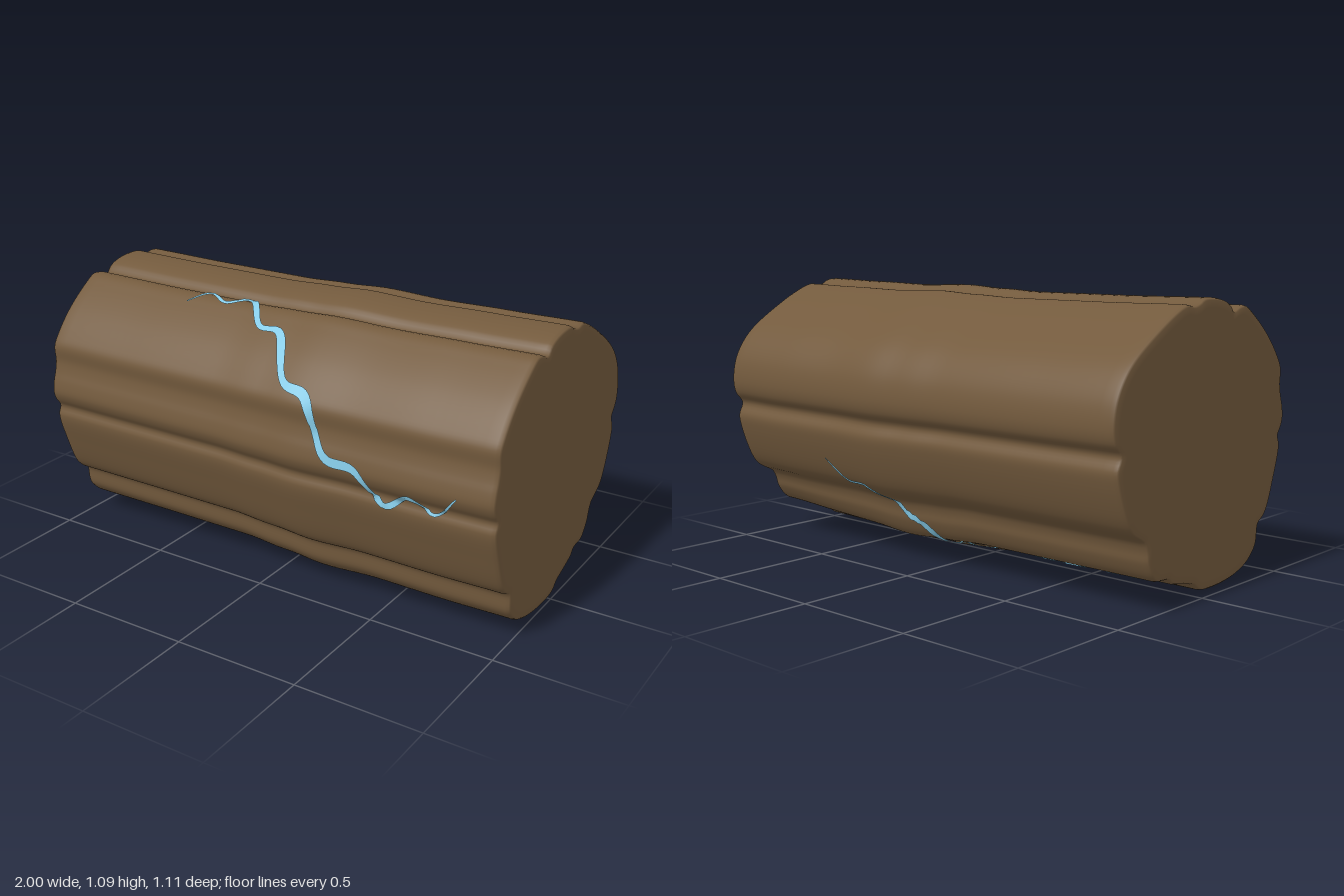
import * as THREE from 'three';

const bark = new THREE.MeshStandardMaterial({ color: 0x735a3d });
bark.name = 'bark brown';
const glow = new THREE.MeshStandardMaterial({ color: 0x87ceeb, side: THREE.DoubleSide });
glow.name = 'pale blue';

// Outline of the log's cross-section as [z, y], from the top towards the front
const OUTLINE = [
  [-.02, 1.09], [.09, 1.085], [.15, 1.063], [.175, 1.036], [.22, 1.05], [.26, 1.054], [.32, 1.02],
  [.425, .937], [.5, .852], [.53, .8], [.528, .735], [.537, .69], [.55, .65], [.557, .6], [.545, .565],
  [.523, .53], [.535, .49], [.5, .363], [.452, .243], [.425, .213], [.39, .19], [.374, .107], [.32, .053],
  [.23, .017], [.08, 0], [-.012, .008], [-.05, .035], [-.193, .068], [-.214, .086], [-.3, .1],
  [-.344, .167], [-.353, .213], [-.37, .25], [-.44, .294], [-.474, .34], [-.525, .47], [-.534, .523],
  [-.516, .575], [-.549, .62], [-.56, .674], [-.543, .77], [-.48, .867], [-.344, .967], [-.133, 1.072],
  [-.0875, 1.066], [-.05, 1.075],
];
const MID = .545;
const N = 280;
const section = new THREE.CatmullRomCurve3(
  OUTLINE.map(([z, y]) => new THREE.Vector3(0, y - MID, z)), true, 'centripetal',
).getSpacedPoints(N).slice(0, N).map((p) => ({ r: Math.hypot(p.y, p.z), a: Math.atan2(p.y, p.z) }));

// Swelling along the length: [x, scale, centre height]
const SWELL = [
  [-1, .962, .5525], [-.6, .958, .55], [-.2, .958, .549], [0, .975, .547], [.18, .993, .546],
  [.42, .978, .548], [.7, .984, .55], [1, .984, .555],
];
function swellAt(x) {
  let i = 0;
  while (i < SWELL.length - 2 && x > SWELL[i + 1][0]) i++;
  const [a, b] = [SWELL[i], SWELL[i + 1]];
  const t = THREE.MathUtils.smoothstep(x, a[0], b[0]);
  return [a[1] + (b[1] - a[1]) * t, a[2] + (b[2] - a[2]) * t];
}

// A point on the bark; the lower back edge is worn in towards the left end
function barkPoint(x, angle, radius, shrink = 1, lift = 0) {
  const [scale, centre] = swellAt(x);
  const away = Math.atan2(Math.sin(angle + 2.1), Math.cos(angle + 2.1));
  const worn = .03 * THREE.MathUtils.smoothstep(x, .2, 1) * Math.exp(-((away / .3) ** 2));
  const r = (radius * scale - worn) * shrink + lift;
  return [x, centre + r * Math.sin(angle), r * Math.cos(angle)];
}

function makeGeometry(positions, index) {
  const g = new THREE.BufferGeometry();
  g.setAttribute('position', new THREE.Float32BufferAttribute(positions, 3));
  g.setIndex(index);
  g.computeVertexNormals();
  return g;
}

// Log body: rings along x with softly rounded ends
function logGeometry() {
  const rings = [[-1, .93], [-1, .982], [-.994, .993], [-.98, 1]];
  for (let i = 1; i < 48; i++) rings.push([-.98 + (1.96 * i) / 48, 1]);
  rings.push([.98, 1], [.994, .993], [1, .982], [1, .93]);
  const pos = [], index = [];
  for (const [x, shrink] of rings) {
    for (const { a, r } of section) pos.push(...barkPoint(x, a, r, shrink));
  }
  const last = (rings.length - 1) * N;
  const start = rings.length * N;
  pos.push(...barkPoint(-1, 0, 0, 0), ...barkPoint(1, 0, 0, 0));
  for (let j = 0; j < N; j++) {
    const k = (j + 1) % N;
    for (let i = 0; i < rings.length - 1; i++) {
      const a = i * N + j, b = i * N + k;
      index.push(a, b, a + N, b, b + N, a + N);
    }
    index.push(start, k, j, start + 1, last + j, last + k);
  }
  return makeGeometry(pos, index);
}

// Outermost bark radius around an angle, so cracks stay above the grooves
function radiusAt(angle) {
  let best = 0;
  for (const { a, r } of section) {
    if (Math.abs(Math.atan2(Math.sin(a - angle), Math.cos(a - angle))) < .03) best = Math.max(best, r);
  }
  return best;
}

// Crack: a tapering ribbon laid over the bark along [x, z, y] points
function crackGeometry(points) {
  const R = .54, steps = 110;
  const path = new THREE.CatmullRomCurve3(points.map(([x, z, y]) => {
    const angle = Math.atan2(y - MID, z);
    return new THREE.Vector3(x, angle * R, 0);
  }), false, 'centripetal');
  const pos = [], index = [];
  for (let i = 0; i <= steps; i++) {
    const t = i / steps;
    const p = path.getPointAt(t), d = path.getTangentAt(t);
    const half = .003 + .014 * Math.sin(Math.PI * t) * (1 + .2 * Math.sin(t * 40));
    for (const side of [-1, 1]) {
      const angle = (p.y + side * half * d.x) / R;
      pos.push(...barkPoint(p.x - side * half * d.y, angle, radiusAt(angle), 1, .006));
    }
    if (i < steps) {
      const a = 2 * i;
      index.push(a, a + 2, a + 1, a + 1, a + 2, a + 3);
    }
  }
  return makeGeometry(pos, index);
}

const FRONT_CRACK = [
  [-.47, .3, 1.02], [-.39, .24, 1.045], [-.3, .27, 1.03], [-.2, .23, 1.045], [-.09, .345, 1],
  [0, .35, .995], [.12, .49, .86], [.22, .51, .835], [.33, .555, .635], [.45, .55, .615],
  [.57, .53, .5], [.67, .545, .56], [.77, .53, .515], [.86, .555, .605],
];
const BACK_CRACK = [
  [.47, -.505, .4], [.376, -.46, .315], [.28, -.455, .31], [.153, -.357, .215], [.056, -.34, .16],
  [-.105, -.155, .06], [-.25, -.05, .035], [-.45, -.01, .02], [-.52, -.07, .035], [-.63, -.09, .04],
  [-.7, -.165, .06], [-.795, -.21, .08], [-.87, -.195, .07],
];

export function createModel() {
  const group = new THREE.Group();
  group.name = 'crackedLog';
  const add = (name, geometry, material) => {
    const mesh = new THREE.Mesh(geometry, material);
    mesh.name = name;
    group.add(mesh);
  };
  add('logBody', logGeometry(), bark);
  add('frontCrack', crackGeometry(FRONT_CRACK), glow);
  add('backCrack', crackGeometry(BACK_CRACK), glow);
  return group;
}
